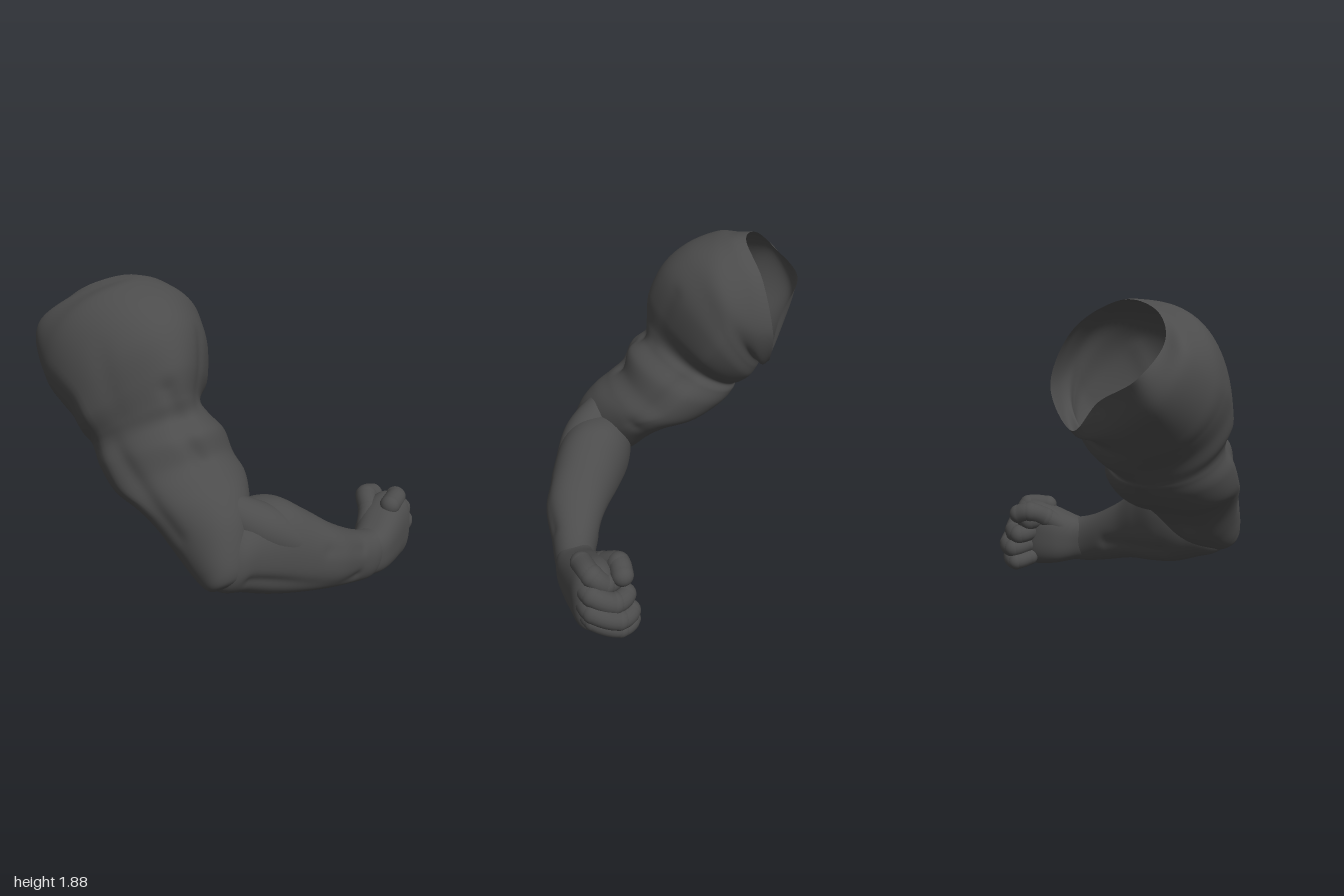
import * as THREE from 'three';

const V3 = (x, y, z) => new THREE.Vector3(x, y, z);
const skin = new THREE.MeshStandardMaterial({ color: 0x4c4c4c, side: THREE.DoubleSide });
skin.name = 'dark grey';

// Muscle relief: each ridge is [from, to, width, height]; negative height is a groove
function relief(p, ridges) {
  let h = 0;
  const q = V3();
  for (const [a, b, width, height] of ridges) {
    new THREE.Line3(V3(...a), V3(...b)).closestPointToPoint(p, true, q);
    h += height * Math.exp(-((q.distanceTo(p) / width) ** 2));
  }
  return h;
}

// Cross-section: rounded oval about c with half axes u, v; taper narrows its front
const power = (c, n) => Math.sign(c) * Math.abs(c) ** (2 / n);
const oval = (c, u, v, n = 2.1, taper = 0) => (a) => {
  const s = power(Math.sin(a), n);
  return c.clone().addScaledVector(v, s)
    .addScaledVector(u, power(Math.cos(a), n) * (1 - taper * Math.max(0, s)));
};

// Free cross-section through evenly spaced points
const ringThrough = (points) => {
  const curve = new THREE.CatmullRomCurve3(points.map((p) => V3(...p)), true, 'catmullrom', 0.5);
  return (a) => curve.getPoint(a / (Math.PI * 2));
};

// Smooth skin through sections, each a function from angle to point
function loft(name, sections, ridges = [], rows = 90, sides = 96) {
  const lines = Array.from({ length: sides }, (_, j) => new THREE.CatmullRomCurve3(
    sections.map((s) => s((j / sides) * Math.PI * 2)), false, 'catmullrom', 0.5));
  const pos = [], index = [];
  for (let i = 0; i <= rows; i++) {
    const ring = lines.map((l) => l.getPoint(i / rows));
    const mid = ring.reduce((m, p) => m.addScaledVector(p, 1 / sides), V3(0, 0, 0));
    ring.forEach((p, j) => {
      p.addScaledVector(p.clone().sub(mid).normalize(), relief(p, ridges));
      pos.push(p.x, p.y, p.z);
      if (i < rows) {
        const k = i * sides + j, n = i * sides + ((j + 1) % sides);
        index.push(k, n, k + sides, n, n + sides, k + sides);
      }
    });
  }
  const g = new THREE.BufferGeometry();
  g.setAttribute('position', new THREE.Float32BufferAttribute(pos, 3));
  g.setIndex(index);
  g.computeVertexNormals();
  const mesh = new THREE.Mesh(g, skin);
  mesh.name = name;
  return mesh;
}

// Shoulder and upper arm section: x range, front (y, z), back (y, z), taper, twist
const armSection = ([x0, x1, yf, zf, yb, zb, taper = 0, twist = 0]) => oval(
  V3((x0 + x1) / 2, (yf + yb) / 2, (zf + zb) / 2),
  V3((x1 - x0) / 2, 0, twist),
  V3(0, (yf - yb) / 2, (zf - zb) / 2), 2.1, taper);

// Forearm and hand section: centre, half height, half depth, lean of each axis
const foreSection = (leanV, leanU, n) => ([x, y, z, ry, rz]) => oval(
  V3(x, y, z), V3(-leanU * rz, 0, -rz), V3(leanV * ry, ry, 0), n);

// Long muscle: round sections [x, y, z, radius] across one overall direction
function muscle(name, stations) {
  const pts = stations.map(([x, y, z]) => V3(x, y, z));
  const axis = pts[pts.length - 1].clone().sub(pts[0]).normalize();
  const u = V3(0, 1, 0).cross(axis).normalize();
  const v = axis.clone().cross(u);
  return loft(name, stations.map(([, , , r], i) => oval(
    pts[i], u.clone().multiplyScalar(r), v.clone().multiplyScalar(r), 2)), [], 40, 40);
}

// Finger: rounded tube through points with slightly swollen joints
function finger(name, points, r) {
  const g = new THREE.Group();
  g.name = name;
  const pts = points.map((p) => V3(...p));
  g.add(new THREE.Mesh(new THREE.TubeGeometry(new THREE.CatmullRomCurve3(pts), 36, r, 18), skin));
  pts.forEach((p, i) => {
    const end = i === 0 || i === pts.length - 1;
    const ball = new THREE.Mesh(new THREE.SphereGeometry(end ? r : r * 1.05, 18, 12), skin);
    ball.position.copy(p);
    g.add(ball);
  });
  return g;
}

export function createModel() {
  const arm = new THREE.Group();
  arm.name = 'arm';

  // Open rim and the swelling behind it: inner side, over the top, outer side, back, notch
  const rim = ringThrough([
    [-0.06, 1.42, -0.57], [-0.17, 1.72, -0.51], [-0.42, 1.875, -0.44], [-0.68, 1.83, -0.54],
    [-0.8, 1.68, -0.68], [-0.72, 1.5, -0.83], [-0.42, 1.36, -0.67], [-0.2, 1.18, -0.58],
  ]);
  const swelling = ringThrough([
    [-0.055, 1.43, -0.46], [-0.17, 1.74, -0.41], [-0.43, 1.88, -0.35], [-0.74, 1.81, -0.47],
    [-0.925, 1.62, -0.69], [-0.82, 1.36, -0.8], [-0.5, 1.21, -0.69], [-0.2, 1.15, -0.54],
  ]);

  // Shoulder shell running down to the elbow
  const upper = [
    [-0.995, -0.06, 1.865, -0.26, 1.09, -0.6, 0.05, 0.09],
    [-1.0, -0.06, 1.8, -0.09, 1.035, -0.56, 0.15, 0.04],
    [-0.98, -0.07, 1.68, 0.05, 0.98, -0.51, 0.25],
    [-0.96, -0.125, 1.5, 0.14, 0.93, -0.46, 0.4],
    [-0.91, -0.22, 1.32, 0.165, 0.895, -0.43, 0.32],
    [-0.9, -0.19, 1.21, 0.18, 0.86, -0.41, 0.2],
    [-0.92, -0.145, 1.13, 0.28, 0.79, -0.34, 0.2],
    [-0.91, -0.14, 1.0, 0.33, 0.69, -0.18, 0.18],
    [-0.87, -0.16, 0.92, 0.42, 0.635, 0.01, 0.18],
    [-0.82, -0.23, 0.84, 0.52, 0.54, 0.14, 0.15],
    [-0.77, -0.32, 0.72, 0.61, 0.41, 0.27, 0.1],
    [-0.735, -0.42, 0.55, 0.67, 0.33, 0.42],
    [-0.7, -0.47, 0.44, 0.68, 0.305, 0.53],
    [-0.61, -0.58, 0.37, 0.64, 0.34, 0.6],
  ].map(armSection);
  arm.add(loft('shoulderAndUpperArm', [rim, swelling, ...upper], [
    [[-0.27, 1.6, 0.03], [-0.38, 1.25, 0.16], 0.05, -0.015],
    [[-0.62, 1.38, 0.15], [-0.55, 1.15, 0.2], 0.05, -0.02],
    [[-0.92, 1.62, -0.1], [-0.9, 1.25, 0.02], 0.06, -0.012],
    [[-0.6, 1.12, 0.25], [-0.54, 1.0, 0.34], 0.05, -0.025],
    [[-0.17, 1.1, -0.1], [-0.2, 0.75, 0.25], 0.06, -0.025],
    [[-0.92, 1.08, 0], [-0.82, 0.65, 0.42], 0.06, -0.02],
    [[-0.52, 0.82, -0.36], [-0.55, 0.52, 0.15], 0.07, -0.015],
  ], 170));

  // Forearm, from the elbow to the wrist
  arm.add(loft('forearm', [
    [-0.67, 0.48, 0.52, 0.02, 0.02],
    [-0.58, 0.49, 0.51, 0.18, 0.17],
    [-0.42, 0.495, 0.505, 0.245, 0.215],
    [-0.25, 0.465, 0.535, 0.275, 0.23],
    [-0.08, 0.395, 0.59, 0.24, 0.215],
    [0.1, 0.32, 0.645, 0.19, 0.187],
    [0.3, 0.24, 0.655, 0.16, 0.14],
    [0.45, 0.2, 0.655, 0.15, 0.118],
    [0.56, 0.2, 0.63, 0.15, 0.11],
  ].map(foreSection(0.27, 0, 2.2)), [
    [[-0.5, 0.38, 0.7], [0.25, 0.18, 0.78], 0.04, -0.016],
    [[0, 0.44, 0.78], [0.3, 0.33, 0.76], 0.04, -0.012],
    [[-0.3, 0.3, 0.35], [0.2, 0.24, 0.5], 0.05, -0.015],
  ]));

  // Long muscle crossing from the outer upper arm onto the forearm
  arm.add(muscle('outerForearmMuscle', [
    [-0.58, 0.9, 0.24, 0.02],
    [-0.55, 0.84, 0.33, 0.075],
    [-0.48, 0.73, 0.46, 0.11],
    [-0.32, 0.61, 0.58, 0.14],
    [-0.12, 0.475, 0.67, 0.115],
    [0.1, 0.36, 0.72, 0.08],
    [0.28, 0.27, 0.72, 0.02],
  ]));

  // Hand: palm and back of the hand
  arm.add(loft('palm', [
    [0.42, 0.2, 0.655, 0.135, 0.105],
    [0.52, 0.2, 0.64, 0.152, 0.12],
    [0.64, 0.215, 0.585, 0.195, 0.14],
    [0.75, 0.232, 0.545, 0.222, 0.14],
    [0.84, 0.235, 0.525, 0.22, 0.125],
    [0.88, 0.235, 0.51, 0.17, 0.09],
    [0.89, 0.235, 0.505, 0.01, 0.01],
  ].map(foreSection(0, 0.3, 2.6)), [], 50, 64));

  // Four curled fingers: height, knuckle x, depth of the fold, thickness
  [
    ['indexFinger', 0.42, 0.85, 0.41, 0.064],
    ['middleFinger', 0.325, 0.905, 0.36, 0.064],
    ['ringFinger', 0.23, 0.937, 0.335, 0.062],
    ['littleFinger', 0.14, 0.91, 0.33, 0.056],
  ].forEach(([name, y, x, z, r]) => arm.add(finger(name, [
    [x - 0.12, y, 0.6],
    [x, y, 0.54],
    [x - 0.01, y - 0.07, z + 0.06],
    [x - 0.09, y - 0.08, z],
    [x - 0.15, y - 0.06, z + 0.08],
  ], r)));

  // Thumb folded along the top of the fist
  arm.add(finger('thumb', [
    [0.58, 0.29, 0.55],
    [0.67, 0.36, 0.48],
    [0.74, 0.41, 0.39],
    [0.82, 0.39, 0.37],
  ], 0.066));

  return arm;
}
